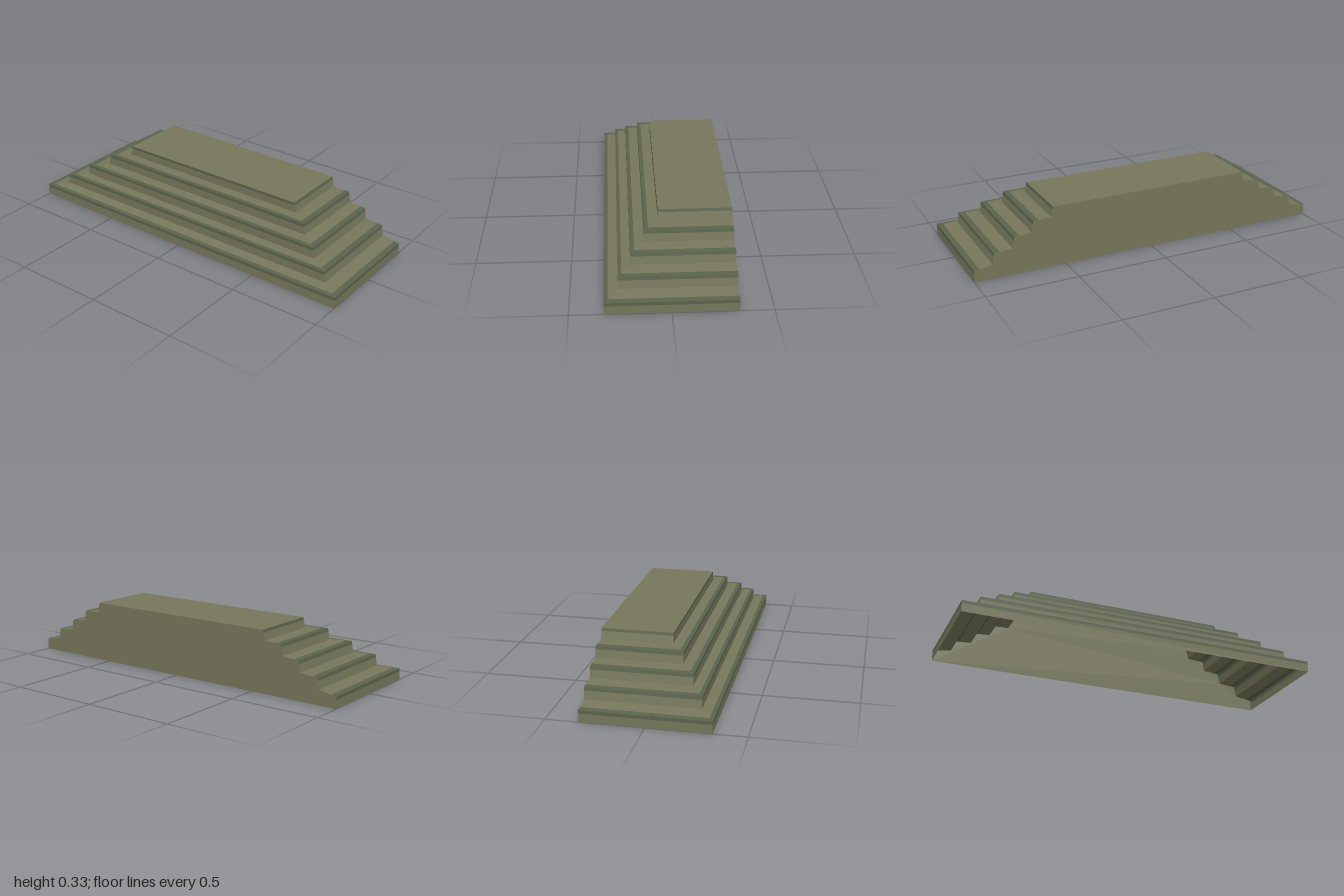
import * as THREE from 'three';

const BACK_X = 0.33; // plane of the flat wall
const stone = new THREE.MeshStandardMaterial({ color: 0x75765a, side: THREE.DoubleSide, flatShading: true });
const trim = new THREE.MeshStandardMaterial({ color: 0x59624b, side: THREE.DoubleSide, flatShading: true });

// Stepped profile: [outer x, half depth z, height y], alternating riser and tread
const profile = [
  [-0.33, 1.0, 0], [-0.33, 1.0, 0.063],
  [-0.26, 0.9, 0.078], [-0.26, 0.89, 0.138],
  [-0.196, 0.79, 0.146], [-0.196, 0.78, 0.206],
  [-0.123, 0.685, 0.214], [-0.123, 0.675, 0.274],
  [-0.05, 0.577, 0.278], [-0.05, 0.565, 0.333],
];

const mix = (a, b, t) => a.map((v, i) => v + (b[i] - v) * t);

// Three-sided strip running round the steps between two profile points
function strip(name, a, b, material) {
  const loop = ([x, z, y]) => [[BACK_X, y, z], [x, y, z], [x, y, -z], [BACK_X, y, -z]];
  const lower = loop(a), upper = loop(b), pos = [];
  for (let i = 0; i < 3; i++) {
    pos.push(...lower[i], ...upper[i], ...upper[i + 1]);
    pos.push(...lower[i], ...upper[i + 1], ...lower[i + 1]);
  }
  const geo = new THREE.BufferGeometry();
  geo.setAttribute('position', new THREE.Float32BufferAttribute(pos, 3));
  geo.computeVertexNormals();
  const mesh = new THREE.Mesh(geo, material);
  mesh.name = name;
  return mesh;
}

export function createModel() {
  const group = new THREE.Group();
  group.name = 'steppedPlatform';

  // Steps: each riser and tread has a dark trim along the nosing
  for (let i = 0; i < profile.length; i += 2) {
    const step = new THREE.Group();
    step.name = `step${i / 2 + 1}`;
    const [low, nose, next] = [profile[i], profile[i + 1], profile[i + 2]];
    const riserSplit = mix(low, nose, 0.72);
    step.add(strip('riser', low, riserSplit, stone), strip('riserTrim', riserSplit, nose, trim));
    if (next) {
      const treadSplit = mix(nose, next, 0.29);
      step.add(strip('treadTrim', nose, treadSplit, trim), strip('tread', treadSplit, next, stone));
    }
    group.add(step);
  }

  // Flat top
  const [topX, topZ, topY] = profile[profile.length - 1];
  const top = new THREE.Mesh(new THREE.PlaneGeometry(BACK_X - topX, 2 * topZ), stone);
  top.name = 'topDeck';
  top.rotation.x = -Math.PI / 2;
  top.position.set((BACK_X + topX) / 2, topY, 0);
  group.add(top);

  // Flat wall closing the long side; the underside stays open
  const outline = [
    ...profile.map(([, z, y]) => new THREE.Vector2(z, y)),
    ...profile.map(([, z, y]) => new THREE.Vector2(-z, y)).reverse(),
  ];
  const wall = new THREE.Mesh(new THREE.ShapeGeometry(new THREE.Shape(outline)), stone);
  wall.name = 'flatWall';
  wall.rotation.y = Math.PI / 2;
  wall.position.x = BACK_X;
  group.add(wall);

  return group;
}
